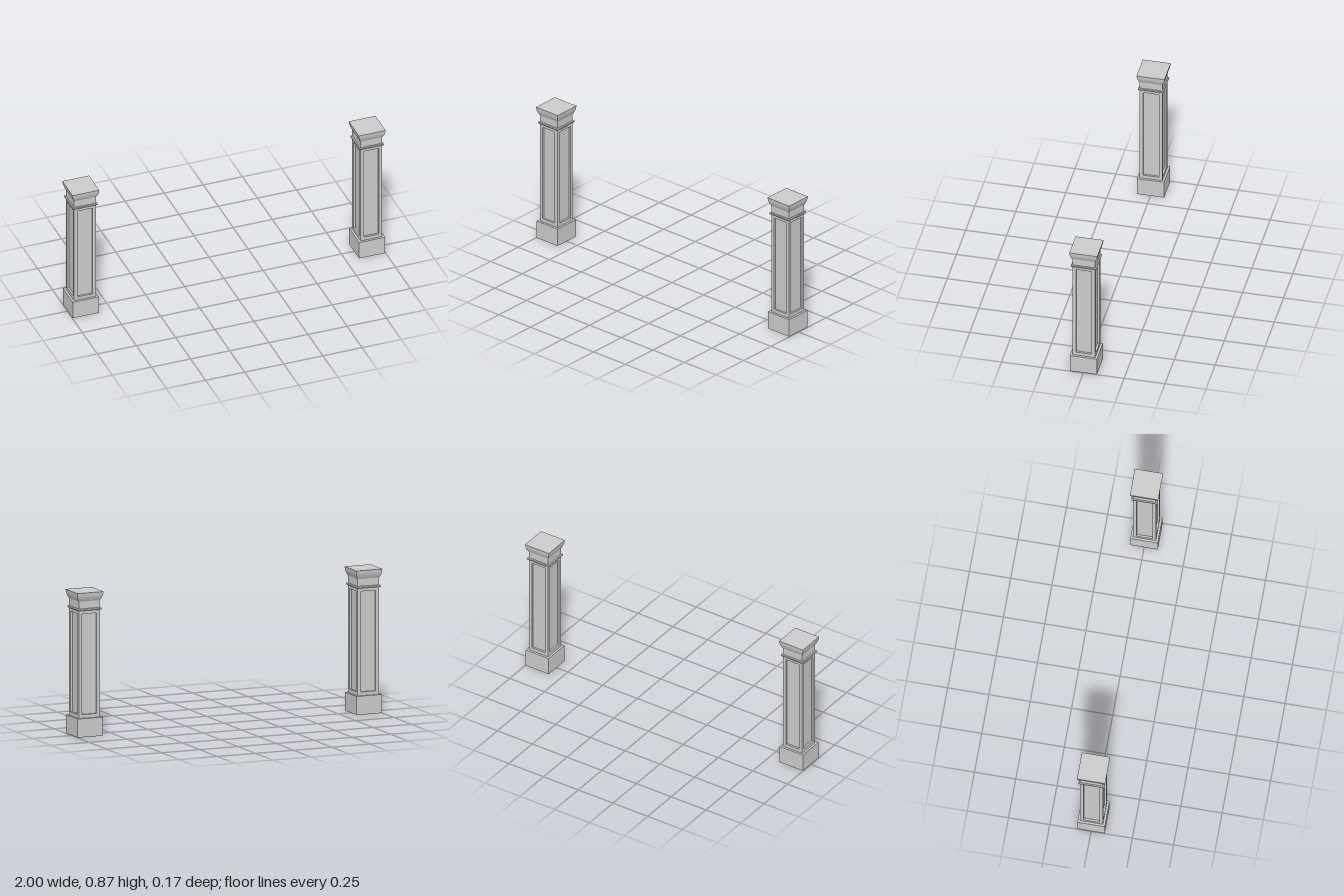
import * as THREE from 'three';
import { toCreasedNormals } from 'three/addons/utils/BufferGeometryUtils.js';

const material = new THREE.MeshStandardMaterial({ color: 0xcccccc, side: THREE.DoubleSide });

const HALF = 0.0695;      // half width of the shaft
const RECESS = 0.012;     // depth of the sunken panels
const BASE_TOP = 0.113;
const SHAFT_TOP = 0.77;

function add(parent, name, geometry) {
  const mesh = new THREE.Mesh(geometry, material);
  mesh.name = name;
  parent.add(mesh);
  return mesh;
}

// Square moulding: a profile of [half width, height] swept round four sides
function squareMoulding(profile) {
  const points = profile.map(([r, y]) => new THREE.Vector2(r * Math.SQRT2, y));
  return toCreasedNormals(new THREE.LatheGeometry(points, 4, Math.PI / 4), 0.7);
}

// Flat frame around one sunken panel
function panelFrame(halfWidth) {
  const rect = (path, w, y0, y1) =>
    path.moveTo(-w, y0).lineTo(w, y0).lineTo(w, y1).lineTo(-w, y1).closePath();
  const shape = rect(new THREE.Shape(), halfWidth, BASE_TOP, SHAFT_TOP);
  shape.holes.push(rect(new THREE.Path(), 0.048, 0.135, 0.745));
  return new THREE.ExtrudeGeometry(shape, { depth: RECESS, bevelEnabled: false });
}

function createColumn(name) {
  const column = new THREE.Group();
  column.name = name;

  // Plinth, open underneath
  add(column, 'plinth', squareMoulding([[0.083, 0], [0.083, BASE_TOP], [0, BASE_TOP]]));

  // Shaft: inner core carrying the panels, with a frame on each side
  const core = HALF - RECESS;
  const height = SHAFT_TOP - BASE_TOP;
  add(column, 'shaftCore', new THREE.BoxGeometry(core * 2, height, core * 2)
    .translate(0, BASE_TOP + height / 2, 0));
  for (let i = 0; i < 4; i++) {
    const frame = panelFrame(i % 2 ? core : HALF).translate(0, 0, core);
    add(column, 'panelFrame', frame.rotateY(i * Math.PI / 2));
  }

  // Thin rounded collar
  const collar = [[HALF, 0.764]];
  for (let i = 0; i <= 8; i++) {
    const a = -Math.PI / 2 + (Math.PI * i) / 8;
    collar.push([0.0725 + 0.006 * Math.cos(a), 0.7705 + 0.0065 * Math.sin(a)]);
  }
  collar.push([HALF, 0.777]);
  add(column, 'collar', squareMoulding(collar));

  // Neck and flaring capital
  add(column, 'neck', squareMoulding([[HALF, SHAFT_TOP], [HALF, 0.821]]));
  const flare = new THREE.SplineCurve([
    [HALF, 0.821], [0.0765, 0.834], [0.0825, 0.852], [0.0855, 0.874],
  ].map(([x, y]) => new THREE.Vector2(x, y))).getPoints(10).map((p) => [p.x, p.y]);
  add(column, 'capital', squareMoulding([...flare, [0, 0.874]]));

  return column;
}

export function createModel() {
  const model = new THREE.Group();
  model.name = 'columnPair';
  for (const [name, side] of [['leftColumn', 1], ['rightColumn', -1]]) {
    const column = createColumn(name);
    column.position.x = side * 0.9145;
    model.add(column);
  }
  return model;
}
